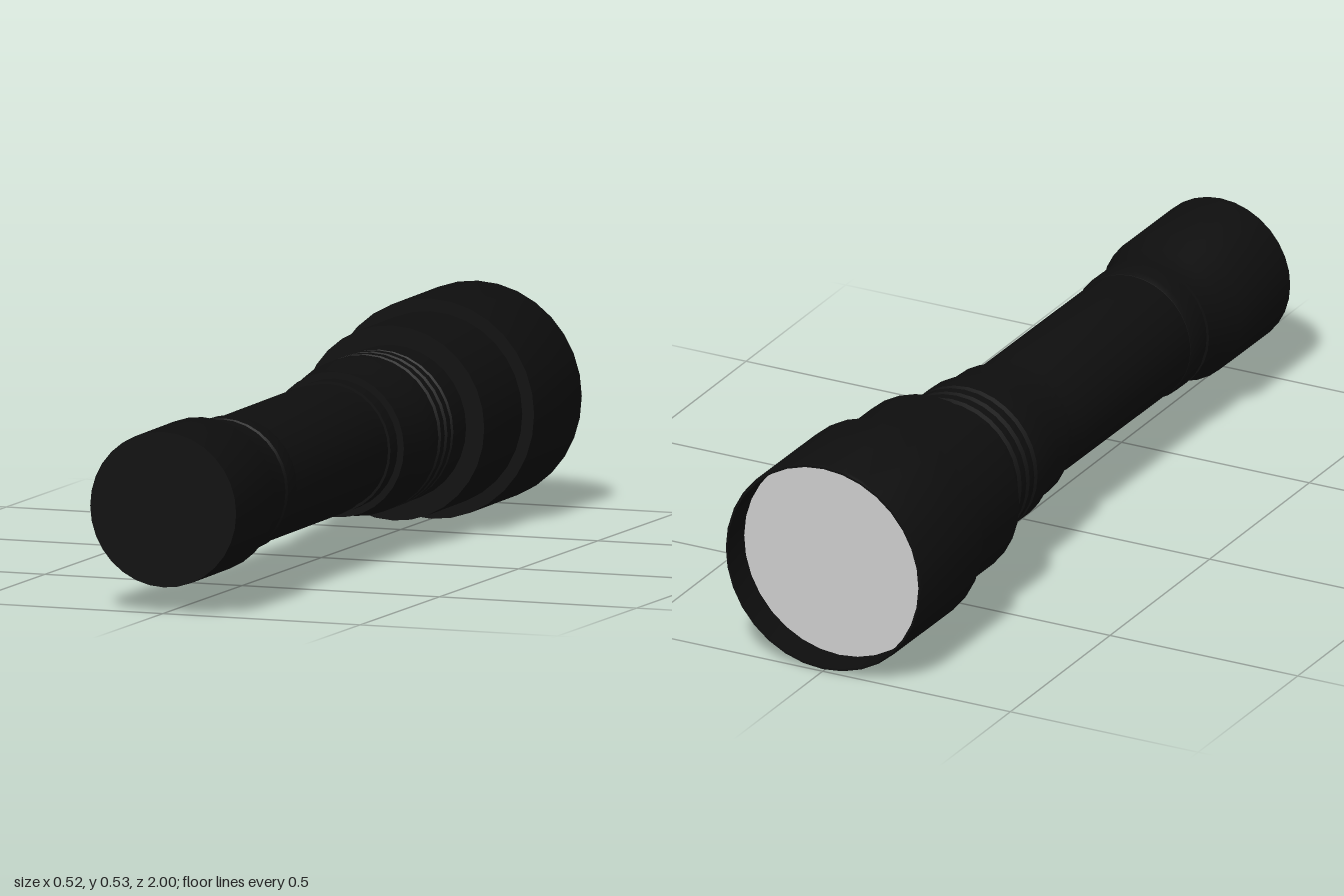
import * as THREE from 'three';
import { toCreasedNormals } from 'three/addons/utils/BufferGeometryUtils.js';

const SIDES = 32;

export function createModel() {
  const model = new THREE.Group();
  model.name = 'flashlight';
  const torch = new THREE.Group();
  torch.name = 'torchBody';
  model.add(torch);

  const black = new THREE.MeshStandardMaterial({ color: 0x0e0e0e });
  const grey = new THREE.MeshStandardMaterial({ color: 0xcccccc });

  // Turned part along z; profile is [radius, z] from the head (-z) to the tail (+z)
  function turned(name, profile, material = black) {
    const points = profile.map(([r, z]) => new THREE.Vector2(r, z));
    const geometry = new THREE.LatheGeometry(points, SIDES).rotateX(Math.PI / 2);
    const mesh = new THREE.Mesh(toCreasedNormals(geometry, 0.5), material);
    mesh.name = name;
    torch.add(mesh);
  }

  // Hollow bezel with a thin rim around the recessed lens
  turned('bezel', [[0.254, -0.91], [0.254, -0.998], [0.259, -0.998], [0.262, -0.99],
    [0.262, -0.69], [0.2, -0.69]]);

  const lens = new THREE.Mesh(new THREE.CircleGeometry(0.255, SIDES), grey);
  lens.name = 'lens';
  lens.rotation.set(0, Math.PI, 0);
  lens.position.z = -0.915;
  torch.add(lens);

  turned('head', [[0.232, -0.7], [0.232, -0.45], [0.15, -0.45]]);

  // Neck collar with three grip grooves
  const collar = [[0.186, -0.46], [0.186, -0.37]];
  for (let i = 0; i < 3; i++) {
    const z = -0.37 + i * 0.04;
    collar.push([0.177, z + 0.003], [0.177, z + 0.014], [0.187, z + 0.017], [0.187, z + 0.04]);
  }
  collar.push([0.187, -0.21], [0.174, -0.15], [0.173, -0.09], [0.14, -0.09]);
  turned('neckCollar', collar);

  turned('neckRing', [[0.157, -0.1], [0.157, -0.045], [0.14, -0.045]]);

  turned('barrel', [[0.151, -0.06], [0.151, -0.01], [0.157, 0.02], [0.157, 0.55], [0.14, 0.55]]);

  turned('tailRing', [[0.14, 0.545], [0.158, 0.55], [0.163, 0.565], [0.163, 0.615], [0.157, 0.622],
    [0.157, 0.632], [0.14, 0.632]]);

  turned('tailCap', [[0.14, 0.63], [0.163, 0.632], [0.163, 0.705], [0.185, 0.75],
    [0.185, 0.998], [0, 0.998]]);

  // The torch rests very slightly raised at the head
  torch.rotation.x = 0.009;
  torch.position.y = 0.257;
  return model;
}
